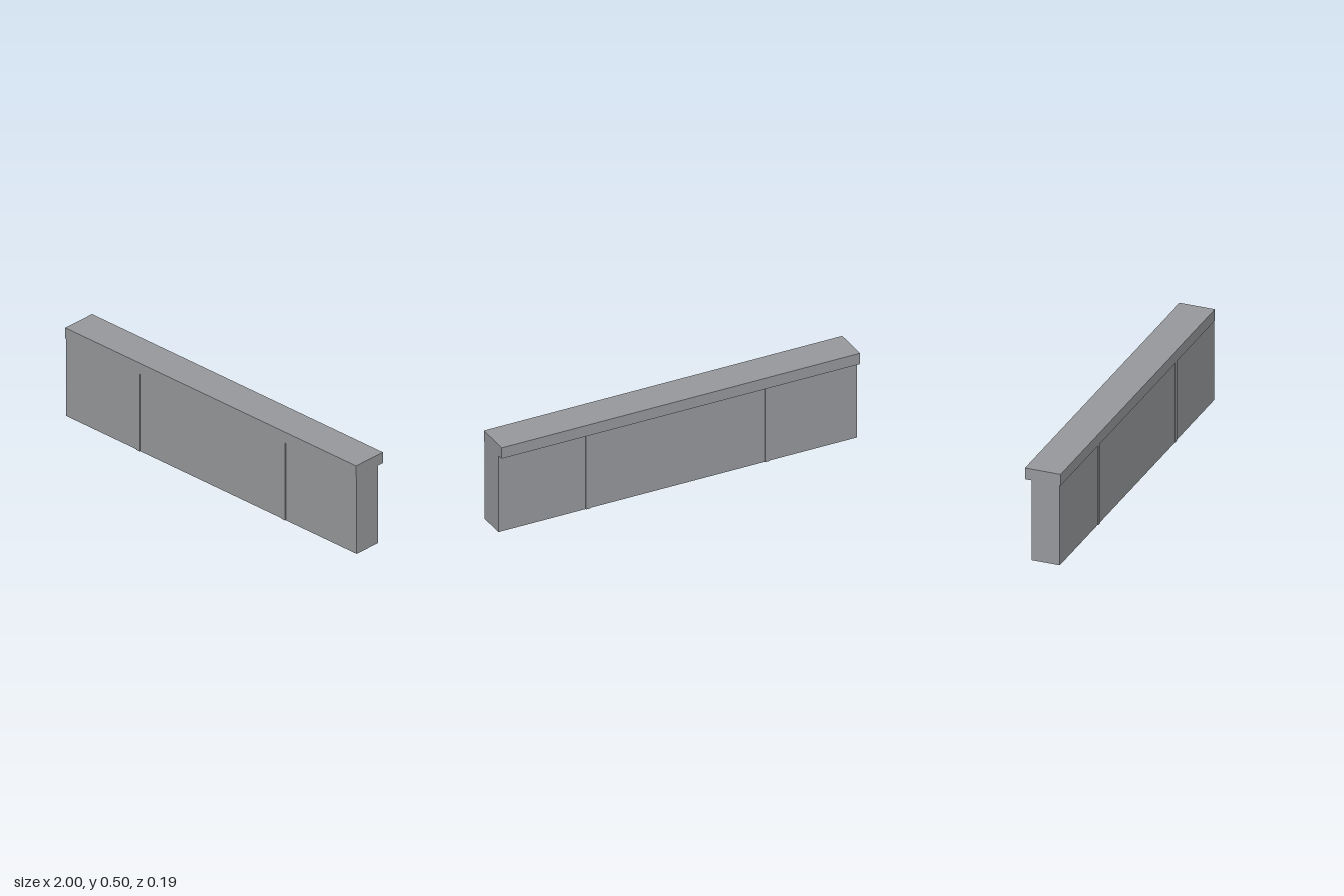
import * as THREE from 'three';

export function createModel() {
  const model = new THREE.Group();
  model.name = 'parapetWall';
  const concrete = new THREE.MeshStandardMaterial({ color: 0x96999c });
  concrete.name = 'concrete grey';

  // Box given by its min and max corners
  const addBox = (name, [x0, y0, z0], [x1, y1, z1]) => {
    const mesh = new THREE.Mesh(new THREE.BoxGeometry(x1 - x0, y1 - y0, z1 - z0), concrete);
    mesh.position.set((x0 + x1) / 2, (y0 + y1) / 2, (z0 + z1) / 2);
    mesh.name = name;
    model.add(mesh);
  };

  const capBottom = 0.44;

  // Main wall slab and the coping that overhangs mostly to the back
  addBox('wall', [-1, 0, -0.06], [1, capBottom, 0.091]);
  addBox('coping', [-1, capBottom, -0.0955], [1, 0.502, 0.0955]);

  // Thin vertical joint strips on both faces
  const half = 0.0125;
  for (const x of [-0.5, 0.5]) {
    const side = x > 0 ? 'left' : 'right';
    addBox(`${side}FrontStrip`, [x - half, 0, 0.091], [x + half, capBottom, 0.0955]);
    addBox(`${side}BackStrip`, [x - half, 0, -0.0645], [x + half, capBottom, -0.06]);
  }
  return model;
}
